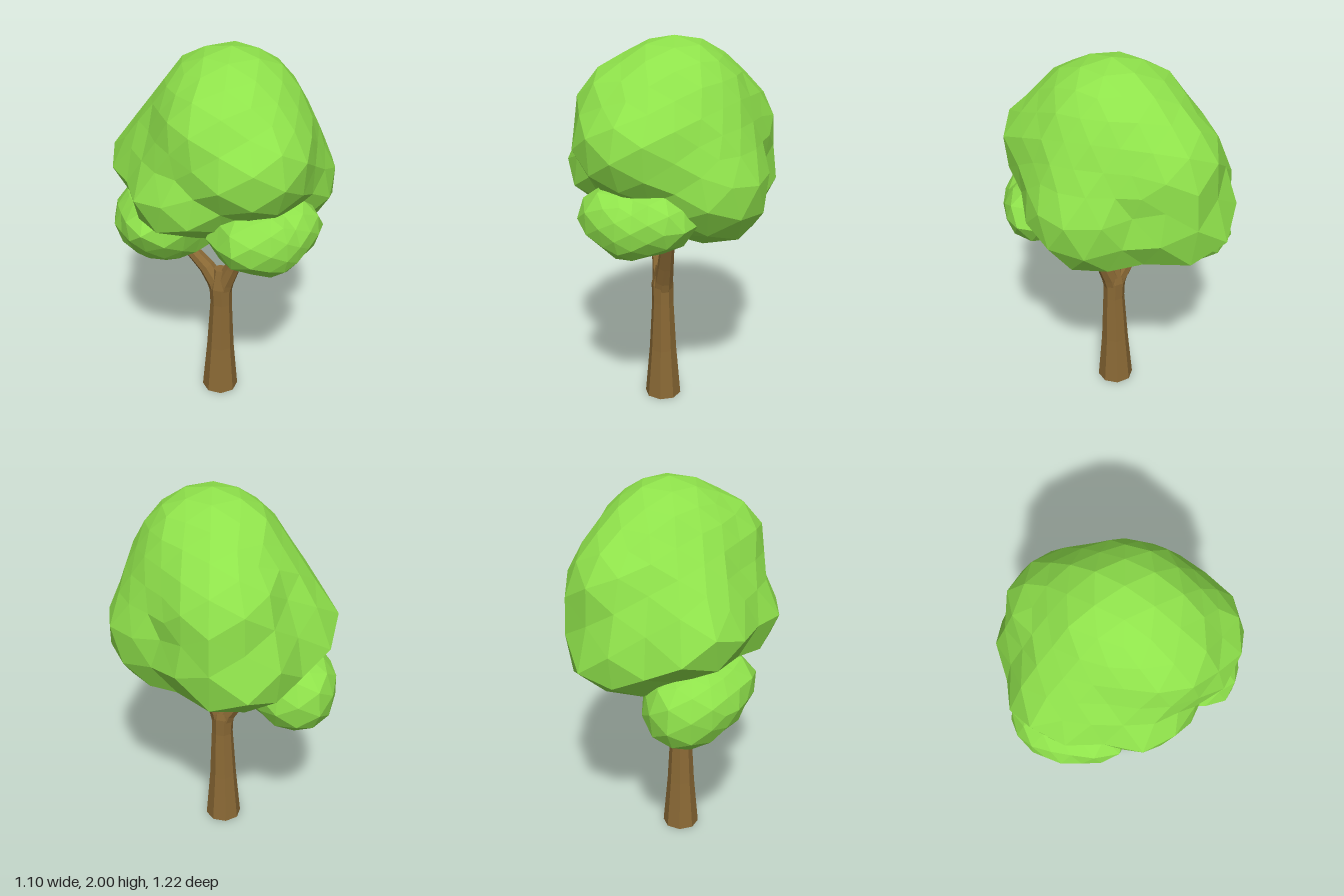
import * as THREE from 'three';

const leaf = new THREE.MeshStandardMaterial({ color: 0x8fe24b, flatShading: true });
const bark = new THREE.MeshStandardMaterial({ color: 0x8a6935, flatShading: true, side: THREE.DoubleSide });

// Faceted foliage: an icosphere pushed out to the envelope of several ellipsoids
// [x, y, z, rx, ry, rz]. The first is the core; the others are blended into it.
function foliage(name, lumps, detail) {
  const core = lumps[0];
  const swept = [core];
  for (const lump of lumps.slice(1)) {
    for (let t = 0.2; t < 1.01; t += 0.2) swept.push(core.map((c, i) => c + (lump[i] - c) * t));
  }
  const geo = new THREE.IcosahedronGeometry(1, detail);
  const pos = geo.attributes.position;
  const d = new THREE.Vector3(), o = new THREE.Vector3(), k = new THREE.Vector3();
  for (let i = 0; i < pos.count; i++) {
    d.fromBufferAttribute(pos, i).normalize();
    let reach = 0;
    for (const [x, y, z, rx, ry, rz] of swept) {
      o.set((core[0] - x) / rx, (core[1] - y) / ry, (core[2] - z) / rz);
      k.set(d.x / rx, d.y / ry, d.z / rz);
      const a = k.dot(k), b = o.dot(k), disc = b * b - a * (o.dot(o) - 1);
      if (disc > 0) reach = Math.max(reach, (-b + Math.sqrt(disc)) / a);
    }
    const bump = Math.sin(d.x * 9 + 1) * Math.sin(d.y * 11 + 2) * Math.sin(d.z * 10 + 0.5);
    d.multiplyScalar(reach * (1.01 + 0.02 * bump));
    pos.setXYZ(i, core[0] + d.x, core[1] + d.y, core[2] + d.z);
  }
  geo.computeVertexNormals();
  const mesh = new THREE.Mesh(geo, leaf);
  mesh.name = name;
  return mesh;
}

// Tapered limb: rings of corners along a path of [x, y, z, radius], closed at the tip
function limb(name, path, sides) {
  const pts = path.map(p => new THREE.Vector3(p[0], p[1], p[2]));
  const up = new THREE.Vector3(0, 1, 0), q = new THREE.Quaternion();
  const verts = [], index = [];
  const last = pts.length - 1;
  pts.forEach((p, i) => {
    const t = pts[Math.min(i + 1, last)].clone().sub(pts[Math.max(i - 1, 0)]).normalize();
    q.setFromUnitVectors(up, i === 0 ? up : t);
    for (let s = 0; s < sides; s++) {
      const a = (s + 0.5) / sides * Math.PI * 2, r = path[i][3];
      const v = new THREE.Vector3(Math.sin(a) * r, 0, Math.cos(a) * r).applyQuaternion(q).add(p);
      verts.push(v.x, v.y, v.z);
      const n = (s + 1) % sides, b = i * sides;
      if (i < last) index.push(b + s, b + n, b + sides + n, b + s, b + sides + n, b + sides + s);
    }
  });
  const e = last * sides;
  for (let s = 1; s < sides - 1; s++) index.push(e, e + s, e + s + 1);
  const geo = new THREE.BufferGeometry();
  geo.setAttribute('position', new THREE.Float32BufferAttribute(verts, 3));
  geo.setIndex(index);
  geo.computeVertexNormals();
  const mesh = new THREE.Mesh(geo, bark);
  mesh.name = name;
  return mesh;
}

export function createModel() {
  const tree = new THREE.Group();
  tree.name = 'tree';

  // Trunk and branches
  tree.add(
    limb('trunk', [
      [-0.06, 0, 0.035, 0.097], [-0.058, 0.28, 0.037, 0.073], [-0.055, 0.56, 0.042, 0.058],
      [-0.057, 0.66, 0.04, 0.06], [-0.057, 0.77, 0.04, 0.035]], 8),
    limb('frontBranch', [
      [-0.055, 0.6, 0.042, 0.05], [-0.04, 0.69, 0.055, 0.05], [-0.01, 0.79, 0.085, 0.043],
      [0.03, 0.93, 0.13, 0.037], [0.055, 1.02, 0.18, 0.032], [0.08, 1.13, 0.23, 0.025]], 8),
    limb('twig', [
      [0.025, 0.91, 0.125, 0.026], [0.06, 1.0, 0.115, 0.025], [0.09, 1.1, 0.1, 0.02]], 6),
    limb('backBranch', [
      [-0.055, 0.6, 0.042, 0.05], [-0.075, 0.69, 0.02, 0.05], [-0.11, 0.765, -0.02, 0.043],
      [-0.17, 0.85, -0.085, 0.035], [-0.24, 0.95, -0.17, 0.025]], 8));

  // Large crown with its bulges
  tree.add(foliage('crown', [
    [0.01, 1.49, 0.03, 0.41, 0.5, 0.46],
    [0.18, 1.28, 0.08, 0.37, 0.26, 0.34],
    [0.27, 1.18, 0.05, 0.23, 0.19, 0.26],
    [0.06, 1.22, -0.27, 0.36, 0.23, 0.35],
    [0.1, 1.48, -0.22, 0.31, 0.32, 0.33],
    [-0.24, 1.33, -0.22, 0.28, 0.2, 0.32],
    [-0.31, 1.3, 0.07, 0.24, 0.19, 0.31],
    [-0.13, 1.6, 0.17, 0.29, 0.3, 0.33],
    [-0.03, 1.51, 0.3, 0.32, 0.25, 0.31]], 3));

  // Small clumps on the branches
  tree.add(foliage('frontClump', [
    [0.03, 1.16, 0.38, 0.3, 0.16, 0.2],
    [-0.08, 1.17, 0.45, 0.18, 0.16, 0.16],
    [0.01, 1.14, 0.46, 0.18, 0.17, 0.15],
    [0.14, 1.18, 0.4, 0.16, 0.15, 0.16]], 2));
  tree.add(foliage('backClump', [
    [-0.27, 0.99, -0.23, 0.25, 0.2, 0.28],
    [-0.26, 0.94, -0.36, 0.2, 0.17, 0.19],
    [-0.27, 1.02, -0.34, 0.2, 0.13, 0.2],
    [-0.32, 1.05, -0.08, 0.21, 0.13, 0.16],
    [-0.16, 0.95, -0.12, 0.15, 0.09, 0.16]], 2));

  return tree;
}
